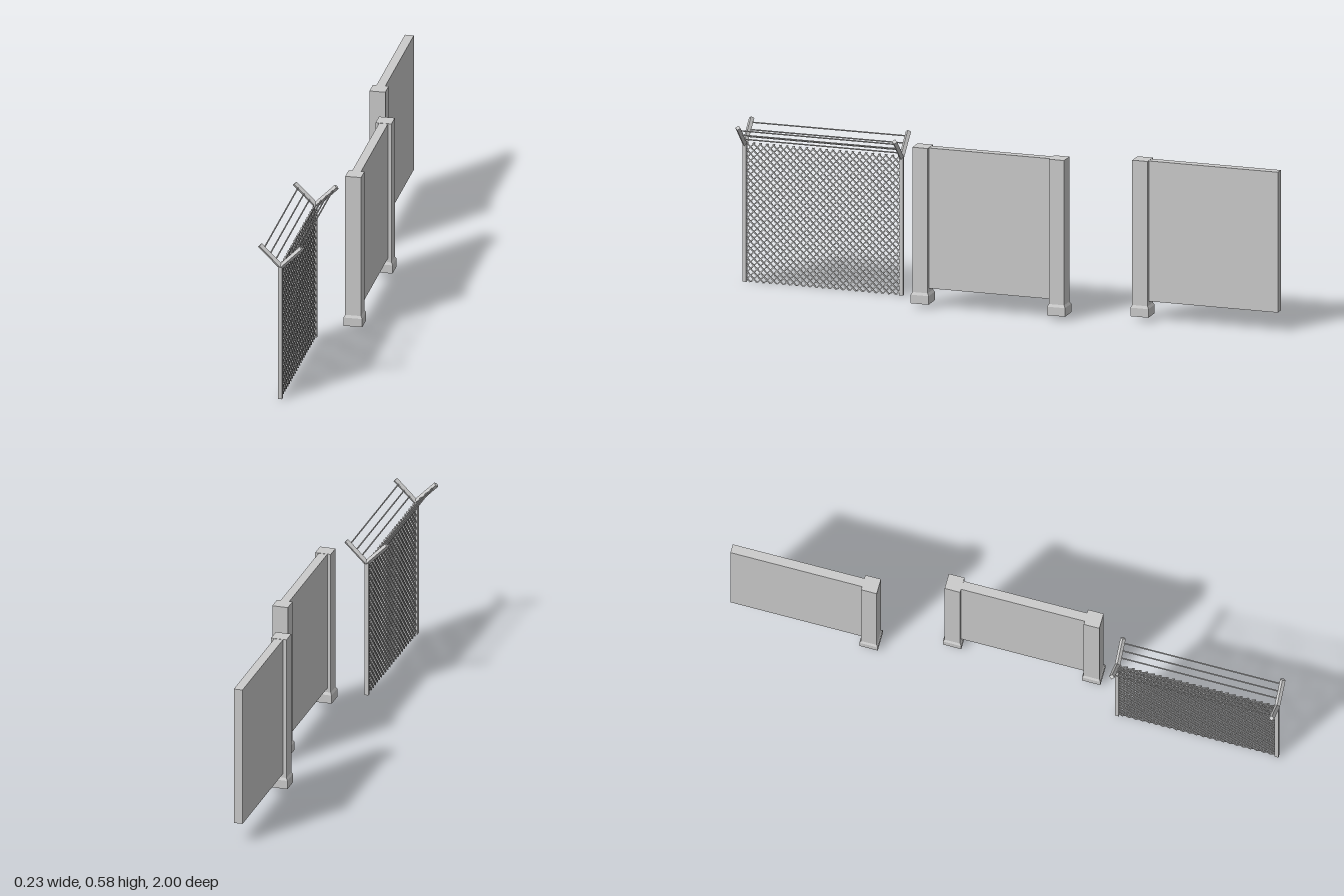
import * as THREE from 'three';
import { mergeGeometries } from 'three/addons/utils/BufferGeometryUtils.js';

const material = new THREE.MeshStandardMaterial({ color: 0xcccccc, flatShading: true });

function add(parent, name, geometry) {
  const mesh = new THREE.Mesh(geometry, material);
  mesh.name = name;
  parent.add(mesh);
  return mesh;
}

// Box given by its min and max corners
function block(x0, x1, y0, y1, z0, z1) {
  return new THREE.BoxGeometry(x1 - x0, y1 - y0, z1 - z0)
    .translate((x0 + x1) / 2, (y0 + y1) / 2, (z0 + z1) / 2);
}

// Square bar between two points
function bar(a, b, width) {
  const dir = b.clone().sub(a);
  const g = new THREE.BoxGeometry(width, width, dir.length());
  const q = new THREE.Quaternion().setFromUnitVectors(new THREE.Vector3(0, 0, 1), dir.normalize());
  return g.applyQuaternion(q).translate((a.x + b.x) / 2, (a.y + b.y) / 2, (a.z + b.z) / 2);
}

// Square pillar standing on a wider foot with a bevelled shoulder
function pillar(x, z) {
  const group = new THREE.Group();
  group.name = 'pillar';
  const half = 0.0285, foot = 0.0335;
  add(group, 'pillarShaft', block(-half, half, 0.053, 0.58, -half, half));
  add(group, 'pillarFoot', block(-foot, foot, 0.015, 0.046, -foot, foot));
  const bevel = new THREE.CylinderGeometry(half * Math.SQRT2, foot * Math.SQRT2, 0.009, 4, 1, true);
  add(group, 'footBevel', bevel.rotateY(Math.PI / 4).translate(0, 0.0505, 0));
  group.position.set(x, 0, z);
  return group;
}

// Solid wall panel with a pillar at each listed z
function wall(name, x, zMin, zMax, pillars) {
  const group = new THREE.Group();
  group.name = name;
  add(group, 'wallPanel', block(x - 0.016, x + 0.016, 0.07, 0.579, zMin, zMax));
  for (const z of pillars) group.add(pillar(x, z));
  return group;
}

// Diagonal wires in two crossing layers, clipped to the fence rectangle
function chainLink(x, z0, z1, height, pitch) {
  const bars = [], width = z1 - z0;
  for (let c = -height + pitch / 2; c < width; c += pitch) {
    const y0 = Math.max(0, -c), y1 = Math.min(height, width - c);
    if (y1 - y0 < 0.004) continue;
    for (const side of [1, -1]) {
      const zAt = y => side > 0 ? z0 + c + y : z1 - c - y;
      bars.push(bar(
        new THREE.Vector3(x + side * 0.0012, y0, zAt(y0)),
        new THREE.Vector3(x + side * 0.0012, y1, zAt(y1)), 0.0042));
    }
  }
  return mergeGeometries(bars);
}

function wireFence() {
  const group = new THREE.Group();
  group.name = 'wireFence';
  const x = -0.036, armX = -0.0345, z0 = 0.412, z1 = 0.993, t = 0.007;

  // End posts with forked arms
  for (const z of [z0, z1]) {
    add(group, 'fencePost', block(x - t, x + t, 0, 0.503, z - t, z + t));
    for (const s of [1, -1]) {
      add(group, 'forkArm', bar(
        new THREE.Vector3(armX, 0.5, z),
        new THREE.Vector3(armX + s * 0.075, 0.575, z), 0.0138));
    }
  }

  // Three wires strung along each side of the fork
  for (const s of [1, -1]) {
    for (const d of [0.021, 0.041, 0.062]) {
      const wire = new THREE.CylinderGeometry(0.0025, 0.0025, z1 - z0, 6).rotateX(Math.PI / 2);
      add(group, 'topWire', wire).position.set(armX + s * d, 0.5 + d, (z0 + z1) / 2);
    }
  }

  add(group, 'chainLinkMesh', chainLink(x, z0, z1, 0.505, 0.0245));
  return group;
}

export function createModel() {
  const model = new THREE.Group();
  model.name = 'fenceSet';
  model.add(wireFence());
  model.add(wall('doublePillarWall', 0.0805, -0.212, 0.294, [-0.212, 0.294]));
  model.add(wall('singlePillarWall', -0.002, -1, -0.493, [-0.493]));
  return model;
}
